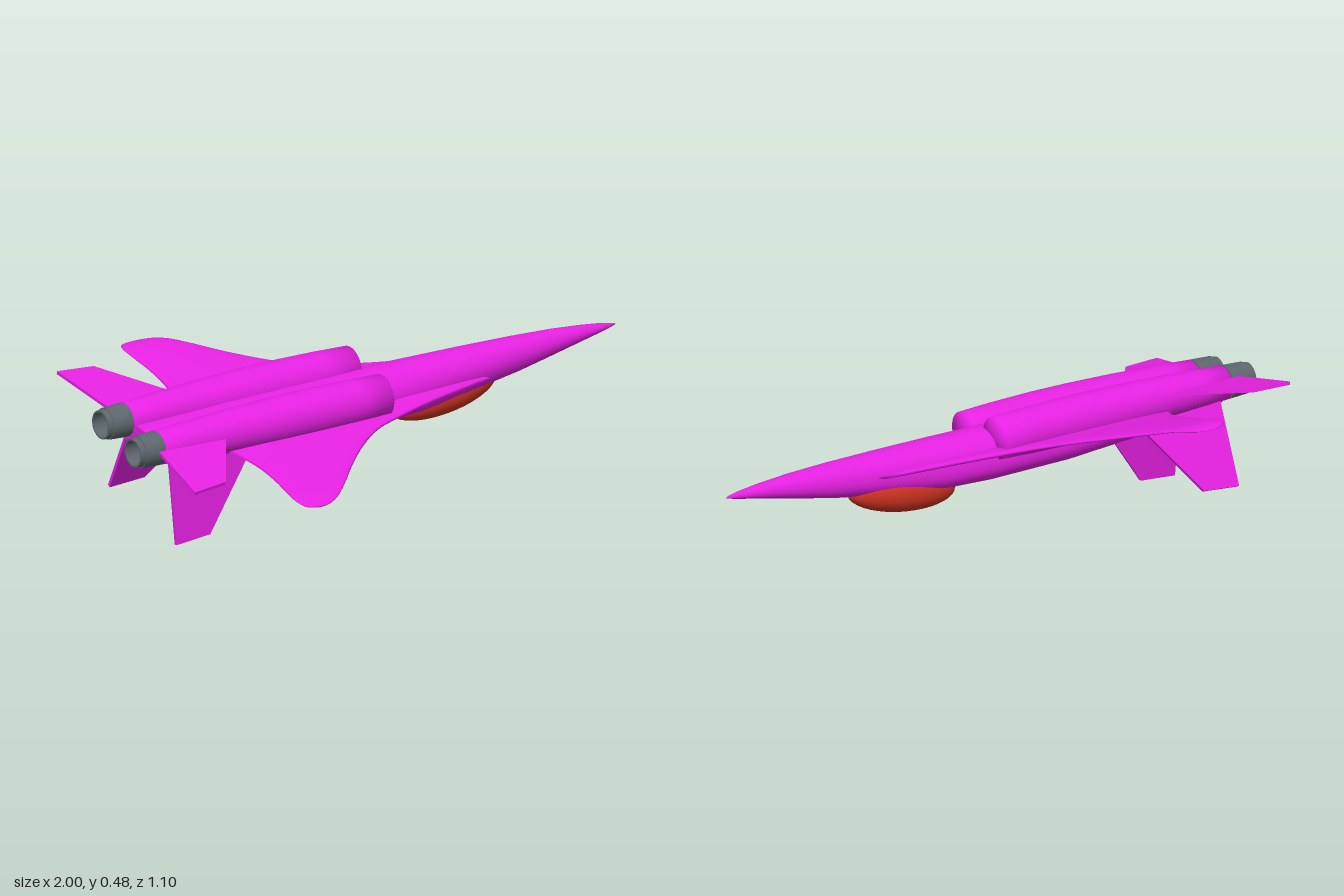
import * as THREE from 'three';
import { toCreasedNormals } from 'three/addons/utils/BufferGeometryUtils.js';

const paint = (name, color) => Object.assign(new THREE.MeshStandardMaterial({ color }), { name });

// Skin a list of closed rings (arrays of [x, y, z]) smoothly and cap both ends.
function loft(rings) {
  const n = rings[0].length, last = rings.length - 1;
  const pos = rings.flat(2), idx = [];
  for (let i = 0; i < last; i++) {
    for (let j = 0; j < n; j++) {
      const a = i * n + j, b = i * n + (j + 1) % n;
      idx.push(a, b, a + n, b, b + n, a + n);
    }
  }
  for (const [r, flip] of [[0, true], [last, false]]) {
    const c = pos.length / 3;
    for (let k = 0; k < 3; k++) pos.push(rings[r].reduce((s, p) => s + p[k], 0) / n);
    pos.push(...rings[r].flat());
    for (let j = 0; j < n; j++) {
      const a = c + 1 + j, b = c + 1 + (j + 1) % n;
      idx.push(c, flip ? b : a, flip ? a : b);
    }
  }
  const g = new THREE.BufferGeometry();
  g.setAttribute('position', new THREE.Float32BufferAttribute(pos, 3));
  g.setIndex(idx);
  g.computeVertexNormals();
  return g;
}

const circle = (n, fn) => Array.from({ length: n }, (_, i) => fn(Math.cos(i / n * 2 * Math.PI), Math.sin(i / n * 2 * Math.PI)));
const bulge = (v, e) => Math.sign(v) * Math.abs(v) ** e;

// Points along a smooth curve
const smooth = (points, n) =>
  new THREE.CatmullRomCurve3(points.map(p => new THREE.Vector3(...p)), false, 'catmullrom').getPoints(n);

// Body of revolution along x from [radius, x] points.
function turned(points, sides) {
  const g = new THREE.LatheGeometry(points.map(p => new THREE.Vector2(...p)), sides);
  return g.rotateZ(-Math.PI / 2);
}

// Flat surface from [x, span] points, canted downward from horizontal.
function plate(points, thickness, side, y, z, cant) {
  const shape = new THREE.Shape(points.map(([x, s]) => new THREE.Vector2(x, s * side)));
  const g = new THREE.ExtrudeGeometry(shape, { depth: thickness, bevelEnabled: false });
  g.translate(0, 0, -thickness / 2);
  g.rotateX(Math.PI / 2 + side * cant);
  g.translate(0, y, z * side);
  return g;
}

export function createModel() {
  const skin = paint('magenta skin', 0xe822e4);
  const glass = paint('red canopy', 0xd03322);
  const metal = paint('grey nozzle', 0x5d676d);

  const model = new THREE.Group();
  model.name = 'jet';
  // The aircraft flies inverted, slightly banked
  const craft = new THREE.Group();
  craft.name = 'bankedAirframe';
  craft.position.y = 0.32;
  craft.rotation.x = 0.23;
  model.add(craft);
  const add = (name, geometry, material) => {
    const m = new THREE.Mesh(geometry, material);
    m.name = name;
    craft.add(m);
    return m;
  };

  // Fuselage: x, top, bottom, half width; the belly is squarer than the back
  const hull = [
    [-0.9, 0.06, -0.035, 0.09], [-0.75, 0.065, -0.056, 0.108], [-0.55, 0.075, -0.077, 0.116],
    [-0.3, 0.08, -0.095, 0.115], [0, 0.081, -0.1, 0.104], [0.2, 0.083, -0.094, 0.09],
    [0.4, 0.083, -0.07, 0.075], [0.6, 0.081, -0.039, 0.057], [0.75, 0.076, -0.008, 0.041],
    [0.87, 0.067, 0.017, 0.026], [0.95, 0.058, 0.032, 0.014], [0.99, 0.05, 0.041, 0.005], [1, 0.047, 0.044, 0.0015],
  ];
  add('fuselage', loft(hull.map(([x, t, b, w]) => {
    const e = x < 0.3 ? 0.76 : 0.9;
    return circle(40, (c, s) => [x, (t + b) / 2 + (c < 0 ? bulge(c, e) : c) * (t - b) / 2, w * (c < 0 ? bulge(s, e) : s)]);
  })), skin);

  // Wing, tip to tip: span, leading edge, trailing edge, height, half thickness
  const half = [
    [0.08, 0.45, -0.68, 0.003, 0.014], [0.13, 0.2, -0.66, 0.004, 0.014], [0.185, 0, -0.635, 0.005, 0.013],
    [0.225, -0.1, -0.622, 0.006, 0.012], [0.293, -0.2, -0.612, 0.009, 0.011], [0.38, -0.3, -0.612, 0.012, 0.01],
    [0.46, -0.38, -0.622, 0.016, 0.008], [0.51, -0.432, -0.625, 0.017, 0.007], [0.54, -0.47, -0.615, 0.013, 0.005],
    [0.555, -0.5, -0.595, 0.008, 0.004], [0.562, -0.53, -0.565, 0.005, 0.002],
  ];
  const lead = smooth(half.map(([z, le, , y]) => [le, y, z]), 40);
  const trail = smooth(half.map(([z, , te, , h]) => [te, h, z]), 40);
  const rings = side => lead.map((l, i) => circle(24, (c, s) => [
    (l.x + trail[i].x) / 2 + c * (l.x - trail[i].x) / 2, l.y + bulge(s, 0.7) * trail[i].y, l.z * side]));
  add('wing', loft([...rings(-1).reverse(), ...rings(1)]), skin);

  // Canopy
  const canopy = add('canopy', new THREE.SphereGeometry(1, 32, 20), glass);
  canopy.scale.set(0.206, 0.07, 0.068);
  canopy.position.set(0.327, -0.071, 0);
  canopy.rotation.z = 0.15;

  const engine = [[0, -0.9], [0.058, -0.9], [0.064, -0.8], [0.074, -0.6], [0.079, -0.42],
    [0.08, -0.28], [0.077, -0.12], [0.072, 0], [0, 0]];
  const nozzle = [[0, -0.92], [0.04, -0.92], [0.043, -1], [0.049, -1], [0.051, -0.98],
    [0.054, -0.98], [0.058, -0.905], [0, -0.895]];
  for (const side of [1, -1]) {
    const label = side > 0 ? 'left' : 'right';
    // Engine barrel and hollow exhaust
    add(label + 'Engine', turned(engine, 36), skin).position.set(0, 0.047, 0.0965 * side);
    add(label + 'Nozzle', toCreasedNormals(turned(nozzle, 20), 0.6), metal).position.set(0, 0.047, 0.0965 * side);
    // Tailplane
    add(label + 'Tailplane', plate(
      [[-0.63, 0], [-0.83, 0.295], [-0.965, 0.313], [-0.925, 0]], 0.011, side, 0.062, 0.1, 0), skin);
    // Canted fin
    add(label + 'Fin', plate(
      [[-0.527, 0.04], [-0.71, 0.315], [-0.845, 0.326], [-0.865, 0]], 0.012, side, 0.03, 0.11, 1.291), skin);
  }
  return model;
}
